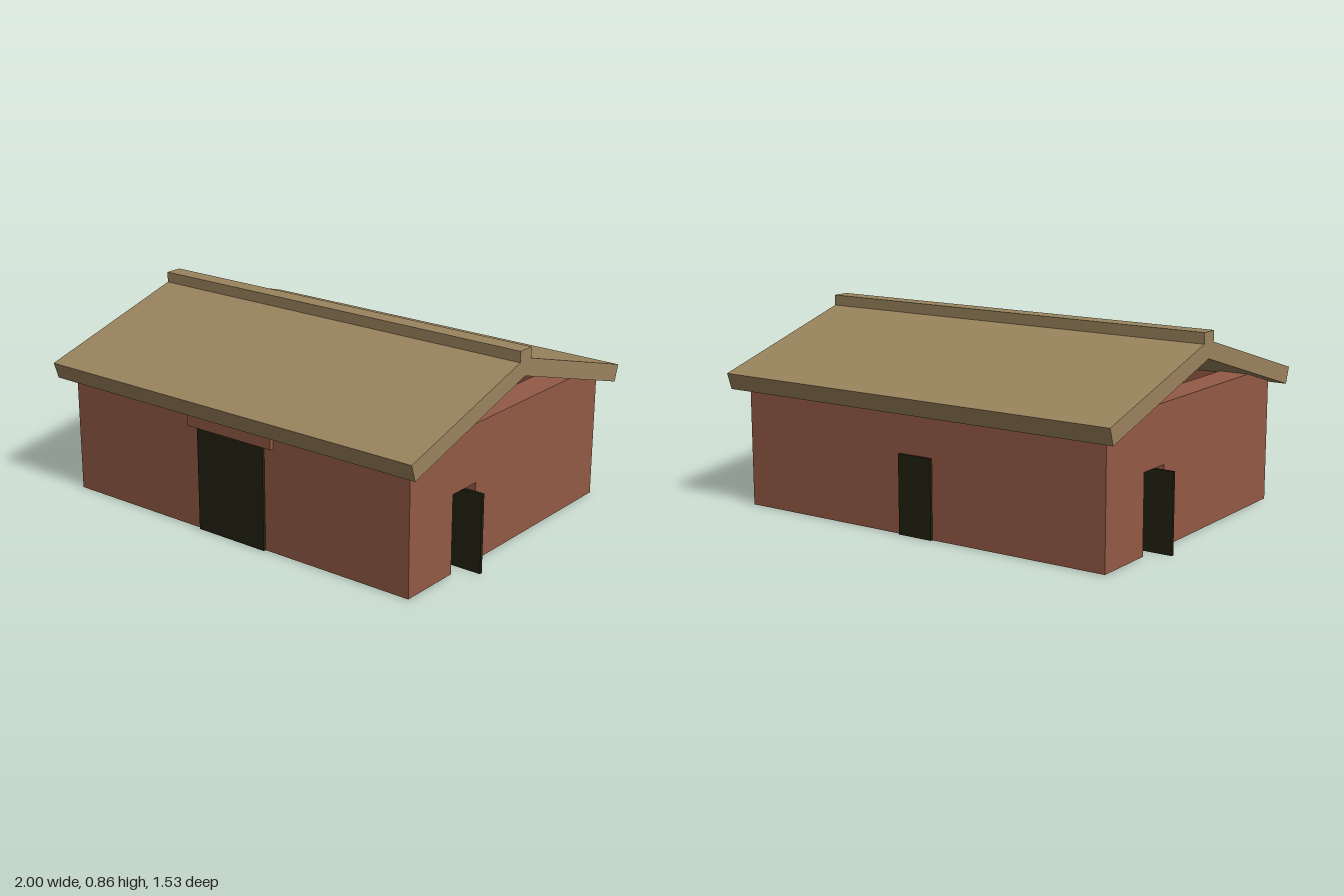
import * as THREE from 'three';

const W = 0.91, D = 0.688, T = 0.135, H = 0.6; // half width, half depth, wall thickness, wall height

const brick = new THREE.MeshStandardMaterial({ name: 'brick', color: 0x945a46 });
const thatch = new THREE.MeshStandardMaterial({ name: 'roofTan', color: 0x9b845e });
const dark = new THREE.MeshStandardMaterial({ name: 'darkDoor', color: 0x222210 });

function add(group, name, geometry, material, x = 0, y = 0, z = 0, ry = 0) {
  const mesh = new THREE.Mesh(geometry, material);
  mesh.name = name;
  mesh.position.set(x, y, z);
  mesh.rotation.y = ry;
  group.add(mesh);
  return mesh;
}

// Wall slab centred on its own axes, with a doorway notched out of the bottom edge
function wallGeometry(halfLength, doorX, doorHalf, doorHeight, arched) {
  const s = new THREE.Shape();
  s.moveTo(-halfLength, 0);
  s.lineTo(doorX - doorHalf, 0);
  if (arched) {
    s.lineTo(doorX - doorHalf, doorHeight - doorHalf);
    s.absarc(doorX, doorHeight - doorHalf, doorHalf, Math.PI, 0, true);
  } else {
    s.lineTo(doorX - doorHalf, doorHeight);
    s.lineTo(doorX + doorHalf, doorHeight);
  }
  s.lineTo(doorX + doorHalf, 0);
  s.lineTo(halfLength, 0);
  s.lineTo(halfLength, H);
  s.lineTo(-halfLength, H);
  s.closePath();
  const g = new THREE.ExtrudeGeometry(s, { depth: T, bevelEnabled: false, curveSegments: 8 });
  return g.translate(0, 0, -T / 2);
}

export function createModel() {
  const house = new THREE.Group();
  house.name = 'house';

  // Long walls: arched front doorway, small back doorway
  add(house, 'frontWall', wallGeometry(W, 0, 0.18, 0.55, true), brick, 0, 0, D - T / 2);
  add(house, 'backWall', wallGeometry(W, 0, 0.08, 0.345, false), brick, 0, 0, -D + T / 2);

  // Side walls and their half-open doors, turned about the centre of the house
  for (const side of [1, -1]) {
    const name = side > 0 ? 'left' : 'right';
    add(house, name + 'SideWall', wallGeometry(D - T, -0.32, 0.08, 0.345, false), brick,
      side * (W - T / 2), 0, 0, side * Math.PI / 2);
    add(house, name + 'SideDoor', new THREE.BoxGeometry(0.18, 0.345, 0.014), dark,
      side * 0.91, 0.1725, side * 0.32);
  }

  // Front door with lintel, and back door
  add(house, 'frontDoor', new THREE.BoxGeometry(0.36, 0.54, 0.014), dark, 0, 0.27, 0.693);
  add(house, 'lintel', new THREE.BoxGeometry(0.455, 0.056, 0.04), brick, 0, 0.487, 0.685);
  add(house, 'backDoor', new THREE.BoxGeometry(0.165, 0.345, 0.014), dark, 0, 0.1725, -0.693);

  // Gabled roof: a thick chevron run along the length, open under the ridge
  const chevron = new THREE.Shape([
    [0, 0.745], [0.742, 0.524], [0.766, 0.597], [0, 0.822], [-0.766, 0.597], [-0.742, 0.524],
  ].map(([z, y]) => new THREE.Vector2(z, y)));
  const roof = new THREE.ExtrudeGeometry(chevron, { depth: 1.944, bevelEnabled: false });
  add(house, 'roof', roof.translate(0, 0, -0.972), thatch, 0, 0, 0, Math.PI / 2);
  add(house, 'ridgeCap', new THREE.BoxGeometry(1.944, 0.077, 0.08), thatch, 0, 0.8195, 0);

  return house;
}
